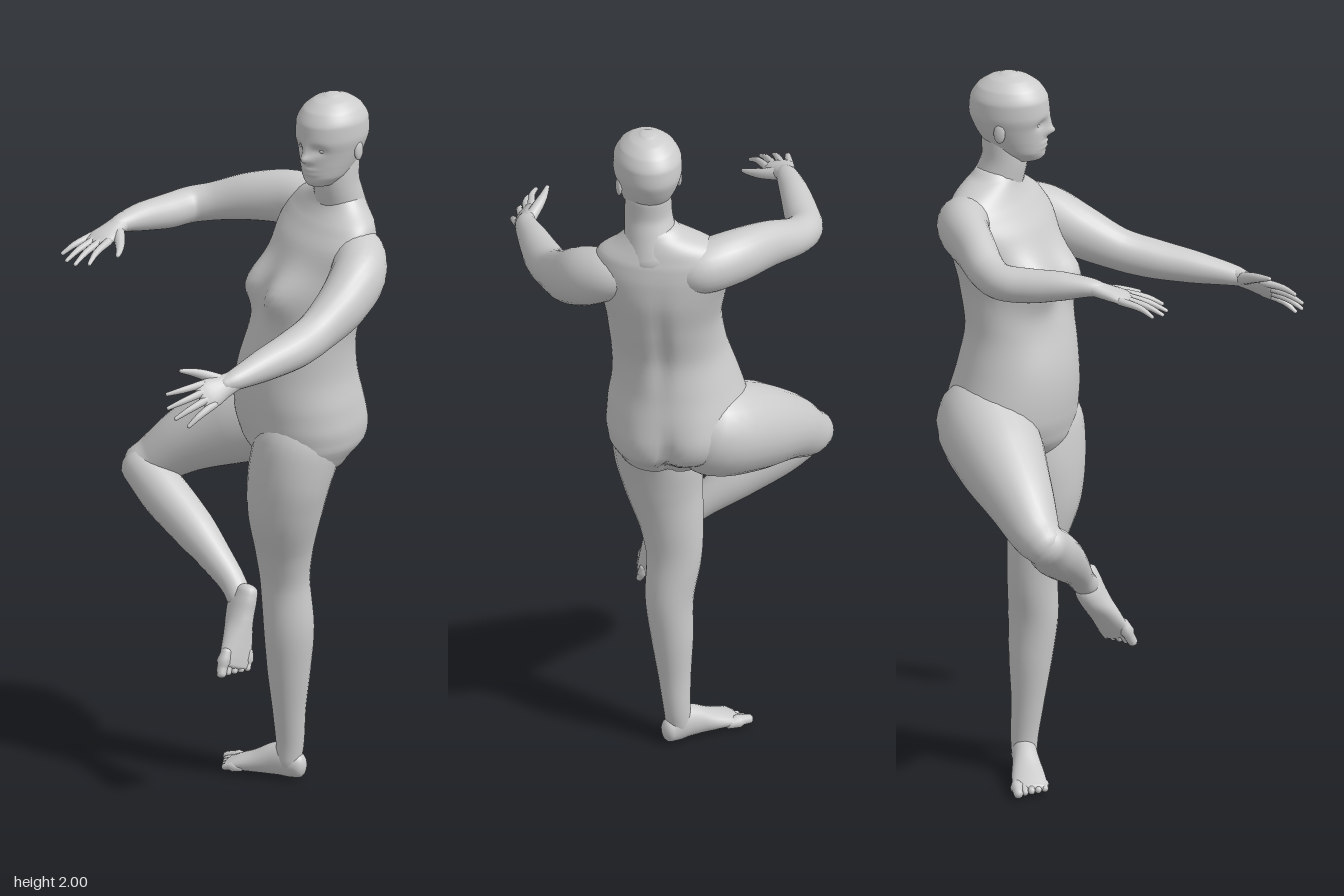
import * as THREE from 'three';

const material = new THREE.MeshStandardMaterial({ color: 0xcccccc });
const V = (x, y, z) => new THREE.Vector3(x, y, z);
// Bell-shaped swelling used to model soft forms
const bell = (d, width) => Math.exp(-((d / width) ** 2));

function add(parent, name, geometry) {
  const mesh = new THREE.Mesh(geometry, material);
  mesh.name = name;
  parent.add(mesh);
}

// Smooth closed loft through [x, y, z, radius along side, other radius] points.
// A fixed axis keeps every ring parallel; cap is the roundness of the ends;
// shape may move each finished point.
function loft(points, side, { axis = null, sides = 24, steps = 5, cap = 0.8, shape = () => {} } = {}) {
  const path = new THREE.CatmullRomCurve3(points.map(p => V(p[0], p[1], p[2])));
  const radii = new THREE.CatmullRomCurve3(points.map(p => V(p[3], p[4] ?? p[3], 0)));
  const count = (points.length - 1) * steps;
  const rings = [];
  const ring = (t, bulge) => {
    const c = path.getPoint(t), r = radii.getPoint(t);
    const dir = axis ? axis.clone() : path.getTangent(t);
    const u = side.clone().addScaledVector(dir, -side.dot(dir)).normalize();
    const v = dir.clone().cross(u);
    const k = Math.cos(bulge);
    c.addScaledVector(dir, Math.sin(bulge) * Math.min(r.x, r.y) * cap);
    rings.push({ c, u: u.multiplyScalar(r.x * k), v: v.multiplyScalar(r.y * k) });
  };
  const bulges = [1.5, 1.2, 0.8, 0.4];
  bulges.forEach(b => ring(0, -b));
  for (let i = 0; i <= count; i++) ring(i / count, 0);
  [...bulges].reverse().forEach(b => ring(1, b));

  const pos = [], index = [];
  for (const { c, u, v } of rings) {
    for (let j = 0; j < sides; j++) {
      const a = j / sides * Math.PI * 2;
      const p = c.clone().addScaledVector(u, Math.cos(a)).addScaledVector(v, Math.sin(a));
      shape(p);
      pos.push(p.x, p.y, p.z);
    }
  }
  for (let i = 0; i < rings.length - 1; i++) {
    for (let j = 0; j < sides; j++) {
      const k = (j + 1) % sides, a = i * sides, b = a + sides;
      index.push(a + j, a + k, b + k, a + j, b + k, b + j);
    }
  }
  const first = pos.length / 3, last = (rings.length - 1) * sides;
  pos.push(...rings[0].c.toArray(), ...rings[rings.length - 1].c.toArray());
  for (let j = 0; j < sides; j++) {
    const k = (j + 1) % sides;
    index.push(first, k, j, first + 1, last + j, last + k);
  }
  const g = new THREE.BufferGeometry();
  g.setAttribute('position', new THREE.Float32BufferAttribute(pos, 3));
  g.setIndex(index);
  g.computeVertexNormals();
  return g;
}

const ellipsoid = (x, y, z, rx, ry, rz) =>
  new THREE.SphereGeometry(1, 24, 16).scale(rx, ry, rz).translate(x, y, z);

// Stands a group at a point with its +z along forward and its +y near up.
function place(group, origin, forward, up) {
  const f = forward.clone().normalize();
  const x = up.clone().cross(f).normalize();
  group.matrix.makeBasis(x, f.clone().cross(x), f).setPosition(origin);
  group.matrix.decompose(group.position, group.quaternion, group.scale);
  return group;
}

// Rings given as [y, front, back, left, right] turned into loft points
const span = ([y, x0, x1, z0, z1]) =>
  [(x0 + x1) / 2, y, (z0 + z1) / 2, Math.abs(z0 - z1) / 2, (x1 - x0) / 2];

// Hand: wrist at the origin, fingers along +z, back up, thumb on the given x side
function makeHand(name, thumb) {
  const hand = new THREE.Group();
  hand.name = name;
  const side = V(1, 0, 0), opts = { sides: 10, steps: 3 };
  add(hand, 'palm', loft([[0, 0, -0.03, 0.026, 0.024], [0, 0, 0.03, 0.033, 0.02],
    [0, 0, 0.075, 0.042, 0.016], [0, -0.002, 0.1, 0.04, 0.012]], side, { sides: 16 }));
  [0.085, 0.104, 0.1, 0.078].forEach((len, i) => {
    const s = thumb * (1.5 - i), x = s * 0.021, d = s * 0.014;
    add(hand, 'finger', loft([[x, 0, 0.08, 0.0115], [x + d * 0.5, 0.003, 0.1 + len * 0.5, 0.009],
      [x + d, -0.006, 0.1 + len, 0.0055]], side, opts));
  });
  add(hand, 'thumb', loft([[thumb * 0.012, -0.004, 0.02, 0.018], [thumb * 0.052, -0.008, 0.058, 0.015],
    [thumb * 0.075, -0.01, 0.085, 0.011], [thumb * 0.092, -0.01, 0.112, 0.006]], side, opts));
  return hand;
}

// Foot: heel at the origin, toes along +z, sole on y = 0, big toe on the given x side
function makeFoot(name, inner) {
  const foot = new THREE.Group();
  foot.name = name;
  const side = V(1, 0, 0);
  add(foot, 'footBody', loft([[0, 0.037, 0.018, 0.028, 0.035], [0, 0.05, 0.055, 0.035, 0.05],
    [0, 0.045, 0.1, 0.037, 0.045], [0, 0.031, 0.15, 0.044, 0.031],
    [0, 0.02, 0.2, 0.048, 0.02], [0, 0.015, 0.222, 0.045, 0.014]], side, { axis: V(0, 0, 1), cap: 0.7 }));
  for (let i = 0; i < 5; i++) {
    const x = inner * (0.034 - i * 0.0175), r = i ? 0.0105 : 0.015;
    add(foot, 'toe', loft([[x, 0.016, 0.19 - i * 0.003, r], [x * 1.08, 0.016, 0.23 - i * 0.005, r],
      [x * 1.08, 0.012, 0.252 - i * 0.007, r * 0.9]], side, { sides: 10, steps: 3 }));
  }
  return foot;
}

// Head: faces +z, with y measured from the ground
function makeHead() {
  const head = new THREE.Group();
  head.name = 'head';
  const rings = [[1.755, 0.086, 0.01, 0.036], [1.78, 0.098, 0.045, 0.058], [1.815, 0.102, 0.078, 0.072],
    [1.85, 0.104, 0.098, 0.083], [1.89, 0.111, 0.111, 0.092], [1.93, 0.107, 0.108, 0.091],
    [1.963, 0.087, 0.088, 0.075], [1.985, 0.056, 0.057, 0.049], [1.996, 0.025, 0.026, 0.022]];
  // Nose, eye sockets, lips and chin
  const face = p => {
    if (p.z < 0.03) return;
    p.z += bell(p.x, 0.015) * (0.02 * bell(p.y - 1.836, 0.013) + 0.012 * bell(p.y - 1.856, 0.02))
      - 0.01 * bell(Math.abs(p.x) - 0.034, 0.017) * bell(p.y - 1.864, 0.014)
      + 0.006 * bell(p.x, 0.026) * (bell(p.y - 1.805, 0.006) + bell(p.y - 1.792, 0.006))
      + 0.007 * bell(p.x, 0.03) * bell(p.y - 1.765, 0.014);
  };
  add(head, 'skull', loft(rings.map(([y, f, b, w]) => [0, y, (f - b) / 2, w, (f + b) / 2]),
    V(1, 0, 0), { axis: V(0, 1, 0), sides: 72, steps: 8, cap: 0.18, shape: face }));
  for (const s of [-1, 1]) {
    add(head, 'eye', ellipsoid(s * 0.034, 1.862, 0.078, 0.013, 0.008, 0.012));
    add(head, 'ear', ellipsoid(s * 0.085, 1.85, -0.012, 0.008, 0.028, 0.016));
  }
  return place(head, V(0.281, 0, 0.01), V(-0.18, 0, 0.075), V(0, 1, 0));
}

// Breasts, buttocks, the cleft between them and the groove of the spine
function shapeTorso(p) {
  if (p.x < 0.22) {
    p.x -= 0.055 * bell(p.y - 1.445, 0.065) * (bell(p.z - 0.05, 0.062) + bell(p.z + 0.11, 0.062));
  } else {
    p.x += 0.022 * bell(p.y - 1.03, 0.1) * (bell(p.z - 0.035, 0.07) + bell(p.z + 0.145, 0.08))
      - 0.022 * bell(p.y - 0.98, 0.09) * bell(p.z + 0.05, 0.018)
      - 0.012 * bell(p.y - 1.36, 0.15) * bell(p.z + 0.035, 0.025);
  }
}

export function createModel() {
  const model = new THREE.Group();
  model.name = 'balancingFigure';
  const Z = V(0, 0, 1), Y = V(0, 1, 0);

  // Trunk
  add(model, 'torso', loft([[0.955, 0.085, 0.325, 0.102, -0.17], [1.0, 0.063, 0.37, 0.123, -0.238],
    [1.06, 0.05, 0.38, 0.13, -0.268], [1.12, 0.044, 0.378, 0.126, -0.258], [1.2, 0.046, 0.368, 0.115, -0.232],
    [1.3, 0.067, 0.36, 0.118, -0.2], [1.4, 0.098, 0.383, 0.126, -0.188], [1.5, 0.13, 0.403, 0.145, -0.203],
    [1.58, 0.165, 0.405, 0.162, -0.226], [1.635, 0.205, 0.398, 0.143, -0.22], [1.675, 0.232, 0.385, 0.095, -0.175],
    [1.712, 0.248, 0.368, 0.06, -0.085]].map(span), Z, { axis: Y, sides: 64, cap: 0.4, shape: shapeTorso }));
  add(model, 'neck', loft([[0.322, 1.63, -0.015, 0.09, 0.076], [0.308, 1.69, -0.002, 0.073, 0.067],
    [0.294, 1.75, 0.006, 0.066, 0.063], [0.295, 1.82, 0.006, 0.063, 0.064]], Z));
  model.add(makeHead());

  // Arms
  add(model, 'leftArm', loft([[0.315, 1.575, 0.04, 0.055], [0.31, 1.56, 0.11, 0.074, 0.074],
    [0.278, 1.527, 0.178, 0.082, 0.076], [0.205, 1.475, 0.233, 0.075, 0.069],
    [0.1, 1.425, 0.283, 0.059, 0.056], [0.02, 1.405, 0.318, 0.055], [-0.09, 1.39, 0.358, 0.045],
    [-0.2, 1.376, 0.395, 0.028, 0.03], [-0.23, 1.37, 0.4, 0.022]], Y));
  model.add(place(makeHand('leftHand', -1), V(-0.205, 1.374, 0.396), V(-0.2, -0.05, 0.032), V(0, 0.6, 0.8)));
  add(model, 'rightArm', loft([[0.325, 1.59, -0.07, 0.055], [0.32, 1.605, -0.145, 0.074, 0.077],
    [0.277, 1.614, -0.222, 0.076, 0.07], [0.19, 1.605, -0.302, 0.067, 0.058], [0.1, 1.58, -0.372, 0.052],
    [0.045, 1.573, -0.393, 0.05], [-0.03, 1.573, -0.375, 0.048], [-0.12, 1.582, -0.346, 0.04],
    [-0.2, 1.585, -0.317, 0.025, 0.029], [-0.23, 1.577, -0.306, 0.02]], Y));
  model.add(place(makeHand('rightHand', 1), V(-0.205, 1.584, -0.315), V(-0.195, -0.055, 0.078), Y));

  // Standing leg
  add(model, 'leftLeg', loft([[0.2, 1.08, 0.01, 0.09, 0.1], [0.18, 1.0, 0.008, 0.113, 0.122],
    [0.16, 0.9, -0.007, 0.121, 0.113], [0.152, 0.8, -0.02, 0.109, 0.102], [0.16, 0.68, -0.042, 0.088, 0.079],
    [0.167, 0.58, -0.05, 0.076, 0.067], [0.173, 0.45, -0.038, 0.067, 0.07], [0.177, 0.32, -0.046, 0.058, 0.06],
    [0.181, 0.2, -0.053, 0.045, 0.046], [0.187, 0.1, -0.06, 0.037, 0.039], [0.185, 0.05, -0.064, 0.035]], Z));
  model.add(place(makeFoot('leftFoot', -1), V(0.217, 0, -0.027), V(-0.168, 0, -0.206), Y));

  // Raised leg, foot hanging across the standing knee
  add(model, 'rightThigh', loft([[0.27, 1.085, -0.07, 0.075], [0.243, 1.045, -0.165, 0.136],
    [0.135, 0.985, -0.257, 0.124], [0.02, 0.918, -0.337, 0.094], [-0.06, 0.855, -0.385, 0.07],
    [-0.096, 0.836, -0.4, 0.059]], Y));
  add(model, 'rightShin', loft([[-0.1, 0.838, -0.398, 0.058], [-0.07, 0.778, -0.31, 0.066],
    [-0.034, 0.708, -0.2, 0.059], [-0.007, 0.645, -0.11, 0.045], [0.011, 0.597, -0.052, 0.037],
    [0.015, 0.562, -0.015, 0.034]], Y));
  model.add(place(makeFoot('rightFoot', 1), V(0.036, 0.612, 0.036), V(-0.083, -0.24, 0.045), V(0, 0, -1)));
  return model;
}
